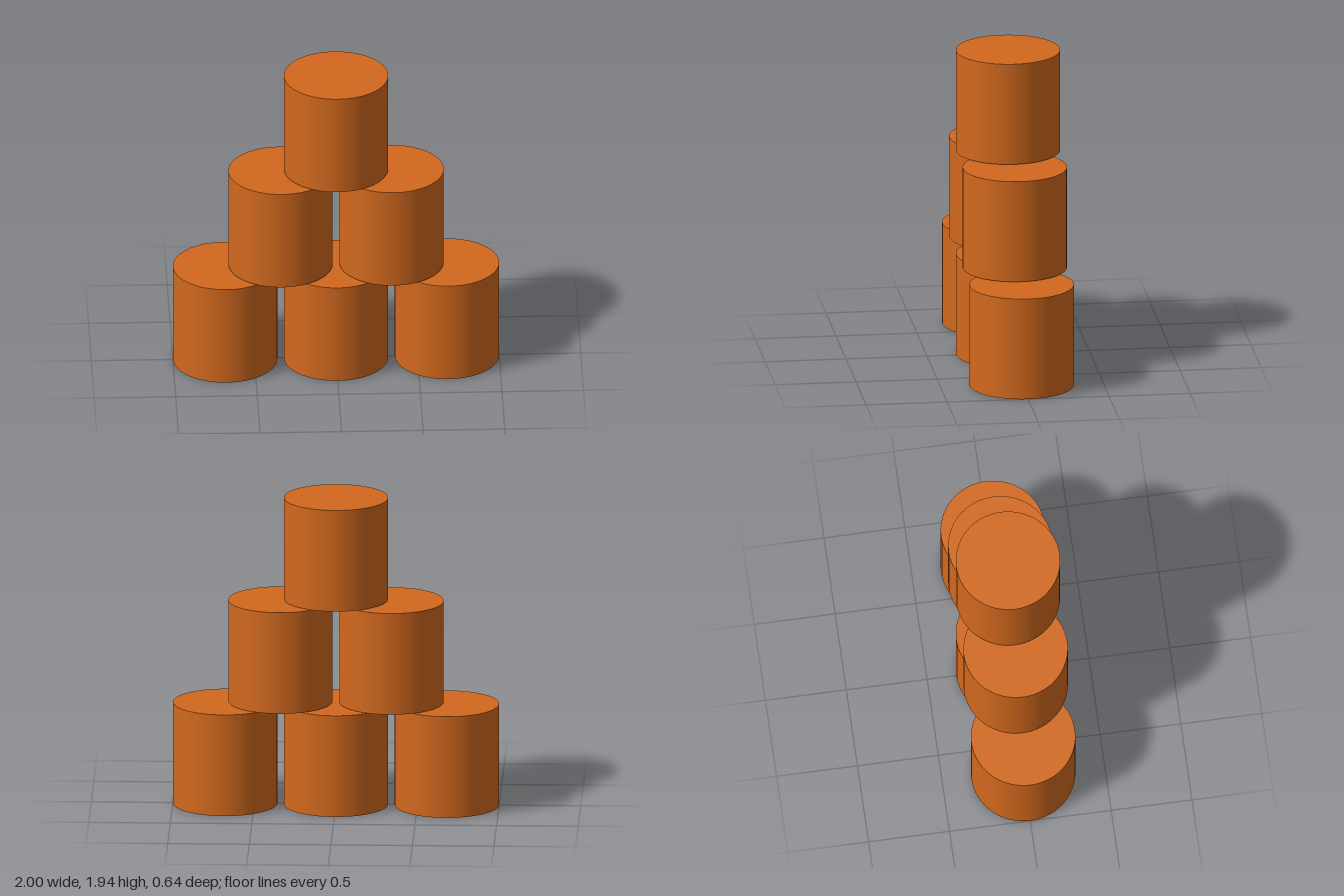
import * as THREE from 'three';

const RADIUS = 0.32, HEIGHT = 0.64;
const SPACING = 0.68; // distance between neighbouring can centres
const PITCH = 0.65;   // height step between rows, leaving a thin gap
const ROWS = 3;

export function createModel() {
  const model = new THREE.Group();
  model.name = 'canPyramid';

  const orange = new THREE.MeshStandardMaterial({ color: 0xd2691e });
  orange.name = 'burntOrange';

  const canGeometry = new THREE.CylinderGeometry(RADIUS, RADIUS, HEIGHT, 64);

  // Stacked rows of three, two and one cans
  for (let row = 0; row < ROWS; row++) {
    const count = ROWS - row;
    const rowGroup = new THREE.Group();
    rowGroup.name = `row${row + 1}`;
    rowGroup.position.y = HEIGHT / 2 + row * PITCH;
    for (let i = 0; i < count; i++) {
      const can = new THREE.Mesh(canGeometry, orange);
      can.name = `can${i + 1}`;
      can.position.x = (i - (count - 1) / 2) * SPACING;
      rowGroup.add(can);
    }
    model.add(rowGroup);
  }
  return model;
}
